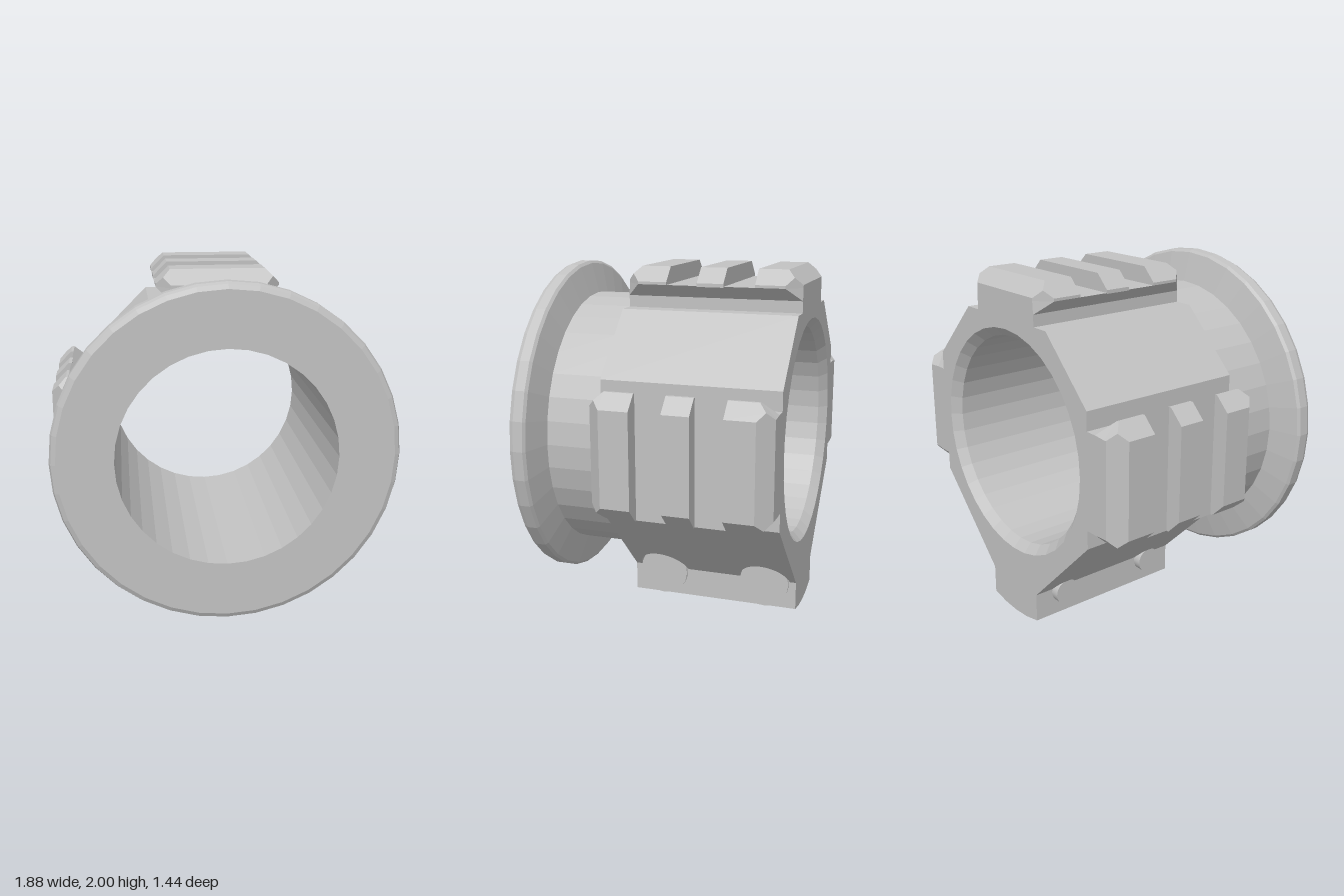
import * as THREE from 'three';
import { ConvexGeometry } from 'three/addons/geometries/ConvexGeometry.js';

const SIDES = 36;
const AXIS_Y = 1.06;              // height of the bore axis
const FRONT = 0.27, BACK = -0.72; // ends of the clamp body
const MID = (FRONT + BACK) / 2;

const grey = new THREE.MeshStandardMaterial({ color: 0xc2c2c2 });
grey.name = 'metal grey';

function part(name, geometry, parent) {
  const mesh = new THREE.Mesh(geometry, grey);
  mesh.name = name;
  parent.add(mesh);
  return mesh;
}

function faceted(geometry) {
  const g = geometry.index ? geometry.toNonIndexed() : geometry;
  g.computeVertexNormals();
  return g;
}

const polygon = (pts) => pts.map(([x, y]) => new THREE.Vector2(x, y));
const circle = (r, n) => Array.from({ length: n }, (_, i) =>
  new THREE.Vector2(r * Math.sin(i * 2 * Math.PI / n), r * Math.cos(i * 2 * Math.PI / n)));

// Flange, neck and bore turned as one closed ring around z
function ringGeometry() {
  const profile = polygon([
    [0.6, 0.72], [0.6, -0.67], [0.65, BACK], [0.65, FRONT], [0.755, FRONT], [0.755, 0.575],
    [0.925, 0.617], [0.94, 0.63], [0.94, 0.685], [0.93, 0.708], [0.905, 0.72], [0.6, 0.72],
  ]);
  return faceted(new THREE.LatheGeometry(profile, SIDES).rotateX(Math.PI / 2));
}

// Eight-sided body with rail necks and a clamping foot
function bodyGeometry() {
  const shape = new THREE.Shape(polygon([
    [0.22, -1.03], [0.22, -0.72], [0.365, -0.72], [0.71, -0.375],
    [0.71, -0.27], [0.775, -0.27], [0.775, 0.27], [0.71, 0.27], [0.71, 0.375],
    [0.375, 0.71], [0.27, 0.71], [0.27, 0.775], [-0.27, 0.775], [-0.27, 0.71], [-0.375, 0.71],
    [-0.71, 0.375], [-0.71, 0.27], [-0.775, 0.27], [-0.775, -0.27], [-0.71, -0.27],
    [-0.71, -0.375], [-0.22, -0.865], [-0.22, -1.03], [-0.11, -1.053], [0, -1.06], [0.11, -1.053],
  ]));
  shape.holes.push(new THREE.Path(circle(0.65, SIDES)));
  return new THREE.ExtrudeGeometry(shape, { depth: FRONT - BACK, bevelEnabled: false })
    .translate(0, 0, BACK);
}

// Lower strip of the sloped side, notched with round pockets for the screw heads
const SCREW_Z = [0.085, -0.535], SCREW_Y = -0.885;
function pocketStripGeometry() {
  const y0 = -0.865, y1 = -0.72, r = 0.15, a = Math.asin((y0 - SCREW_Y) / r);
  const shape = new THREE.Shape();
  shape.moveTo(-FRONT, y0);
  for (const z of SCREW_Z) {
    shape.lineTo(-z - r * Math.cos(a), y0);
    shape.absarc(-z, SCREW_Y, r, Math.PI - a, a, true);
  }
  shape.lineTo(-BACK, y0);
  shape.lineTo(-BACK, y1);
  shape.lineTo(-FRONT, y1);
  const g = new THREE.ExtrudeGeometry(shape, { depth: 1, bevelEnabled: false, curveSegments: 20 })
    .rotateY(Math.PI / 2);
  // Lean the outer face at 45 degrees to follow the body slope
  const p = g.attributes.position;
  for (let i = 0; i < p.count; i++) p.setX(i, 0.22 + (p.getX(i) > 0.5 ? p.getY(i) - y0 : 0));
  return faceted(g);
}

// Points mirrored across x
function hull(points) {
  return new ConvexGeometry(points.flatMap(([x, y, z]) =>
    [new THREE.Vector3(x, y, z), new THREE.Vector3(-x, y, z)]));
}

// Slotted accessory rail, pointing up from the axis
function makeRail(name) {
  const rail = new THREE.Group();
  rail.name = name;
  const L = 0.495, S = 0.415; // half length, and where the corner cut begins
  part('railBar', hull([1, -1].flatMap((s) => [
    [0.27, 0.775, s * L], [0.345, 0.845, s * S], [0.265, 0.845, s * L]])), rail);
  part('railMiddleTooth', hull([-0.075, 0.075].flatMap((z) => [
    [0.345, 0.84, z], [0.345, 0.86, z], [0.265, 0.94, z]])), rail);
  for (const s of [1, -1]) {
    part('railEndTooth', hull([
      [0.345, 0.845, s * 0.25], [0.345, 0.86, s * 0.25], [0.265, 0.94, s * 0.25],
      [0.345, 0.845, s * S], [0.345, 0.86, s * S],
      [0.265, 0.845, s * L], [0.265, 0.86, s * L],
      [0.305, 0.9, s * 0.455], [0.265, 0.94, s * S],
    ]), rail);
  }
  rail.position.z = MID;
  return rail;
}

// Cross screw: socket head on the left, plain end on the right
function makeScrew(z) {
  const screw = new THREE.Group();
  screw.name = 'clampScrew';
  const head = new THREE.Shape(circle(0.142, 32));
  head.holes.push(new THREE.Path(circle(0.057, 6)));
  part('screwHead', new THREE.ExtrudeGeometry(head, { depth: 0.035, bevelEnabled: false })
    .rotateY(Math.PI / 2).translate(0.2, 0, 0), screw);
  part('screwEnd', new THREE.CylinderGeometry(0.075, 0.075, 0.09, 24)
    .rotateZ(Math.PI / 2).translate(-0.225, 0, 0), screw);
  screw.position.set(0, SCREW_Y, z);
  return screw;
}

export function createModel() {
  const model = new THREE.Group();
  model.name = 'railMountRing';
  part('flangeAndBore', ringGeometry(), model);
  part('clampBody', bodyGeometry(), model);
  part('pocketStrip', pocketStripGeometry(), model);

  ['leftRail', 'topRail', 'rightRail'].forEach((name, i) => {
    const rail = makeRail(name);
    rail.rotation.z = (i - 1) * Math.PI / 2;
    model.add(rail);
  });
  for (const z of SCREW_Z) model.add(makeScrew(z));

  model.position.y = AXIS_Y;
  const root = new THREE.Group();
  root.name = 'model';
  root.add(model);
  return root;
}
